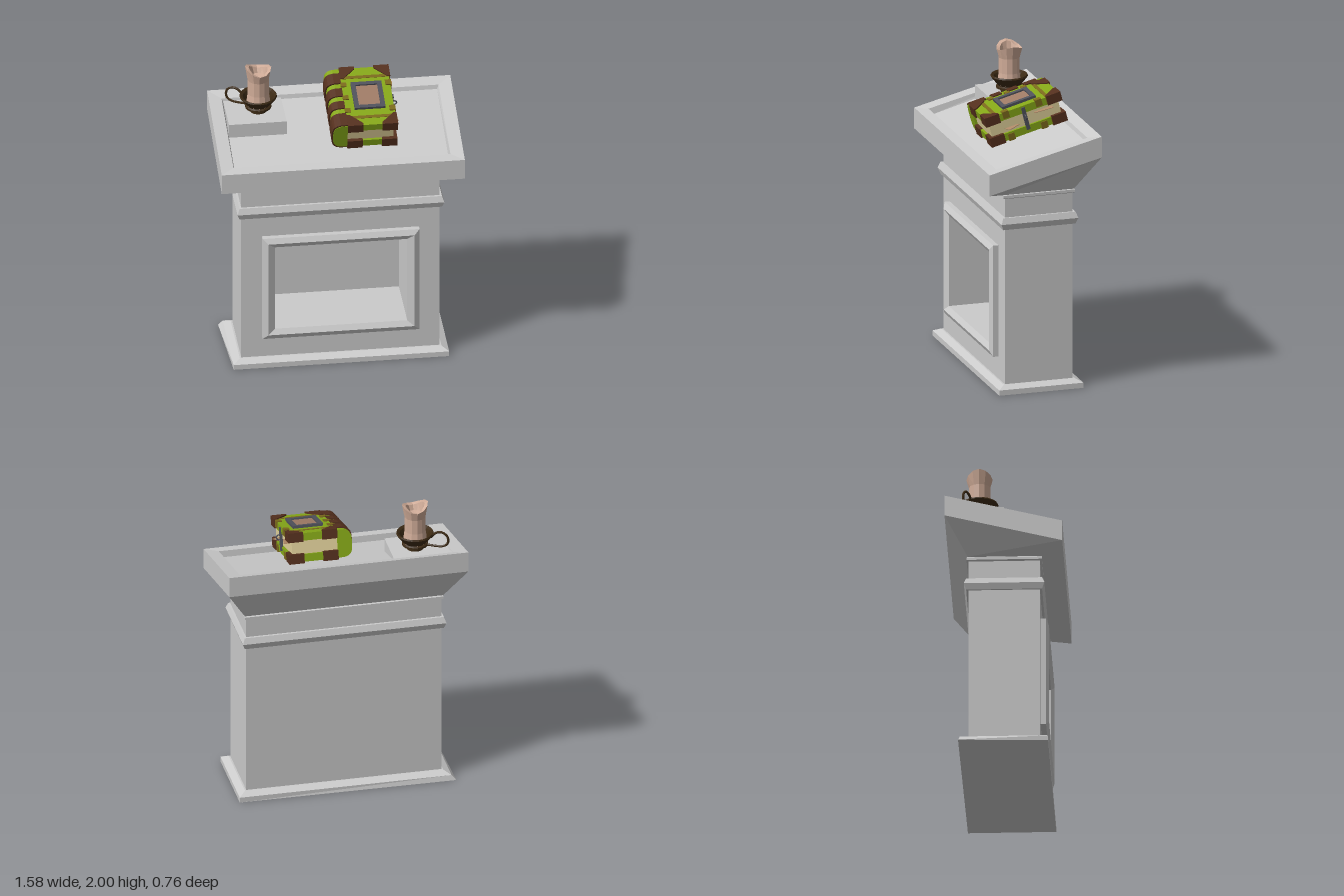
import * as THREE from 'three';

const mat = (color, side = THREE.FrontSide) =>
  new THREE.MeshStandardMaterial({ color, flatShading: true, side });
const STONE = mat(0xcccccc), GREEN = mat(0x86a818), BROWN = mat(0x55301e), OLIVE = mat(0x7c6a1c),
  PAPER = mat(0xe0d09a), SHEET = mat(0xb08a68, THREE.DoubleSide), METAL = mat(0x50525c),
  PANEL = mat(0xa07c66), WAX = mat(0xd0ac98, THREE.DoubleSide), IRON = mat(0x3d2b15, THREE.DoubleSide);

function add(parent, name, geometry, material) {
  const mesh = new THREE.Mesh(geometry, material);
  mesh.name = name;
  parent.add(mesh);
  return mesh;
}

// Box given by its limits on each axis
function block(parent, name, material, [x0, x1], [y0, y1], [z0, z1]) {
  const g = new THREE.BoxGeometry(x1 - x0, y1 - y0, z1 - z0);
  g.translate((x0 + x1) / 2, (y0 + y1) / 2, (z0 + z1) / 2);
  return add(parent, name, g, material);
}

// Skin over rectangles [halfX, halfZ, yFront, yBack], listed from bottom to top
function loft(rings, capped = true) {
  const pos = [], idx = [];
  for (const [hx, hz, yf, yb = yf] of rings) pos.push(-hx, yf, hz, hx, yf, hz, hx, yb, -hz, -hx, yb, -hz);
  for (let i = 0; i < rings.length - 1; i++) {
    for (let k = 0; k < 4; k++) {
      const a = i * 4 + k, b = i * 4 + (k + 1) % 4;
      idx.push(a, b, b + 4, a, b + 4, a + 4);
    }
  }
  if (capped) {
    const t = (rings.length - 1) * 4;
    idx.push(0, 2, 1, 0, 3, 2, t, t + 1, t + 2, t, t + 2, t + 3);
  }
  const g = new THREE.BufferGeometry();
  g.setAttribute('position', new THREE.Float32BufferAttribute(pos, 3));
  g.setIndex(idx);
  g.computeVertexNormals();
  return g;
}

// Upright prism over an outline of [x, z] points
function prism(points, y0, y1) {
  const shape = new THREE.Shape(points.map(([x, z]) => new THREE.Vector2(x, -z)));
  return new THREE.ExtrudeGeometry(shape, { depth: y1 - y0, bevelEnabled: false })
    .rotateX(-Math.PI / 2).translate(0, y0, 0);
}

function rectPath(path, x, y0, y1) {
  path.moveTo(-x, y0).lineTo(x, y0).lineTo(x, y1).lineTo(-x, y1).closePath();
  return path;
}

function buildStand() {
  const stand = new THREE.Group();
  stand.name = 'stand';

  // Plinth with one corner drawn out
  const plinth = loft([[0.7, 0.285, 0], [0.7, 0.285, 0.035], [0.655, 0.24, 0.057]]);
  plinth.attributes.position.setXYZ(3, -0.73, 0, -0.295);
  plinth.computeVertexNormals();
  add(stand, 'plinth', plinth, STONE);

  // Column with a deep niche open to the front
  const face = rectPath(new THREE.Shape(), 0.645, 0.04, 1.34);
  face.holes.push(rectPath(new THREE.Path(), 0.43, 0.275, 0.885));
  add(stand, 'column', new THREE.ExtrudeGeometry(face, { depth: 0.4, bevelEnabled: false })
    .translate(0, 0, -0.17), STONE);
  block(stand, 'columnBack', STONE, [-0.645, 0.645], [0.04, 1.34], [-0.23, -0.17]);
  add(stand, 'nicheFrame', loft([
    [0.51, 0.375, 0.225], [0.51, 0.375, 0.265], [0.475, 0.34, 0.283],
    [0.43, 0.305, 0.262], [0.43, 0.305, 0.225]], false)
    .rotateX(Math.PI / 2).translate(0, 0.58, 0), STONE);

  // Mouldings round the neck
  add(stand, 'lowerMoulding', loft([
    [0.645, 0.23, 1.1], [0.658, 0.245, 1.1], [0.672, 0.26, 1.14], [0.658, 0.245, 1.18], [0.645, 0.23, 1.18]]), STONE);
  add(stand, 'upperMoulding', loft([
    [0.645, 0.23, 1.305], [0.657, 0.243, 1.312], [0.657, 0.243, 1.33], [0.645, 0.23, 1.34]]), STONE);

  // Sloping desk with a sunken top
  add(stand, 'desk', loft([
    [0.655, 0.235, 1.335], [0.79, 0.38, 1.38, 1.57], [0.79, 0.38, 1.52, 1.71],
    [0.705, 0.31, 1.53, 1.685], [0.695, 0.303, 1.487, 1.657]]), STONE);

  // Level block for the candle
  block(stand, 'candleBlock', STONE, [-0.695, -0.32], [1.565, 1.667], [-0.305, 0]);
  return stand;
}

function buildCandle() {
  const group = new THREE.Group();
  group.name = 'candlestick';
  const lathe = (pts, n) => new THREE.LatheGeometry(pts.map(([r, y]) => new THREE.Vector2(r, y)), n)
    .translate(-0.485, 0, -0.165);

  // Saucer with a rolled rim
  add(group, 'saucer', lathe([[0, 1.667], [0.055, 1.667], [0.055, 1.695], [0.085, 1.695], [0.085, 1.708],
    [0.075, 1.715], [0.115, 1.765], [0.122, 1.775], [0.117, 1.785], [0.1, 1.775], [0.075, 1.73], [0, 1.725]], 18), IRON);

  // Looped handle
  const loop = [[-0.58, 1.76], [-0.61, 1.795], [-0.645, 1.803], [-0.678, 1.775],
    [-0.678, 1.725], [-0.65, 1.703], [-0.54, 1.701]];
  const path = new THREE.CatmullRomCurve3(loop.map(([x, y]) =>
    new THREE.Vector3(x, y, -0.215 + (x + 0.585) * 0.5)));
  add(group, 'handle', new THREE.TubeGeometry(path, 24, 0.008, 6), IRON);

  // Candle with a hollow, unevenly melted top
  const wax = lathe([[0.08, 1.72], [0.069, 1.8], [0.069, 1.9], [0.085, 1.975],
    [0.062, 1.968], [0.045, 1.92], [0, 1.91]], 12);
  const p = wax.attributes.position;
  for (let i = 0; i < p.count; i++) {
    if (p.getY(i) < 1.95) continue;
    const a = Math.atan2(p.getZ(i) + 0.165, p.getX(i) + 0.485);
    p.setY(i, p.getY(i) + 0.018 * Math.cos(2 * a) - 0.007 * Math.cos(a));
  }
  wax.computeVertexNormals();
  add(group, 'candle', wax, WAX);
  return group;
}

// Rounded spine section, grown outward by o, between two z positions
function spine(o, z0, z1) {
  const pts = [];
  for (let i = 0; i <= 12; i++) {
    const a = Math.PI * (0.5 + i / 12), c = Math.cos(a), s = Math.sin(a);
    pts.push(new THREE.Vector2(0.045 - (0.095 + o) * Math.abs(c) ** 0.6,
      (0.093 + o) * Math.sign(s) * Math.abs(s) ** 0.6));
  }
  return new THREE.ExtrudeGeometry(new THREE.Shape(pts), { depth: z1 - z0, bevelEnabled: false })
    .translate(0, 0, z0);
}

function buildBook() {
  const book = new THREE.Group();
  book.name = 'book';

  block(book, 'pages', PAPER, [0.02, 0.345], [-0.05, 0.05], [-0.242, 0.242]);
  add(book, 'spine', spine(0, -0.258, 0.258), GREEN);
  for (const [z0, z1] of [[-0.215, -0.125], [-0.08, -0.01], [0.035, 0.1], [0.145, 0.255]]) {
    add(book, 'spineBand', spine(0.009, z0, z1), BROWN);
  }

  for (const s of [-1, 1]) {
    const layer = (a, b) => (s > 0 ? [a, b] : [-b, -a]);
    block(book, 'cover', GREEN, [0.04, 0.362], layer(0.045, 0.095), [-0.258, 0.258]);

    // Corner guards
    for (const sx of [-1, 1]) {
      for (const sz of [-1, 1]) {
        const X = sx > 0 ? 0.37 : 0.045, Z = sz * 0.266;
        const outline = [[0, 0], [0.1, 0], [0.1, 0.02], [0.02, 0.1], [0, 0.1]]
          .map(([u, v]) => [X - sx * u, Z - sz * v]);
        add(book, 'cornerGuard', prism(outline, ...layer(0.04, 0.103)), BROWN);
      }
    }

    // Straps and small plates
    for (const z of [-0.175, 0.185]) {
      block(book, 'strap', OLIVE, [0.05, 0.364], layer(0.05, 0.097), [z - 0.012, z + 0.012]);
    }
    for (const z of [-0.11, 0.005, 0.12]) {
      block(book, 'hingePlate', OLIVE, [0.04, 0.078], layer(0.09, 0.102), [z - 0.018, z + 0.018]);
      if (z !== 0.005) {
        block(book, 'edgePlate', OLIVE, [0.33, 0.369], layer(0.055, 0.102), [z - 0.022, z + 0.022]);
      }
    }
  }

  // Framed panel on the upper cover
  const frame = [[0.105, 0.305], [0.135, 0.275]];
  for (const x of [[frame[0][0], frame[1][0]], [frame[1][1], frame[0][1]]]) {
    block(book, 'panelFrameSide', METAL, x, [0.09, 0.112], [-0.117, 0.117]);
  }
  for (const s of [-1, 1]) {
    block(book, 'panelFrameEnd', METAL, frame[1], [0.09, 0.112], s > 0 ? [0.09, 0.117] : [-0.117, -0.09]);
  }
  block(book, 'panel', PANEL, frame[1], [0.09, 0.102], [-0.09, 0.09]);

  // Clasp on the fore edge
  block(book, 'claspStrap', METAL, [0.355, 0.372], [-0.07, 0.085], [-0.012, 0.012]);
  const ring = new THREE.TorusGeometry(0.016, 0.005, 5, 10).translate(0.378, 0.02, 0);
  add(book, 'claspRing', ring, METAL);

  // Loose sheets poking out
  add(book, 'looseSheet', prism([[0.3, -0.2], [0.388, -0.19], [0.365, -0.07], [0.3, -0.06]], 0.02, 0.023), SHEET);
  add(book, 'looseSheet', prism([[0.3, 0.07], [0.36, 0.05], [0.395, 0.125], [0.32, 0.16]], -0.02, -0.017), SHEET);

  book.position.set(0, 1.739, -0.004);
  book.rotation.x = 0.262;
  return book;
}

export function createModel() {
  const model = new THREE.Group();
  model.name = 'lectern';
  model.add(buildStand(), buildCandle(), buildBook());
  return model;
}
